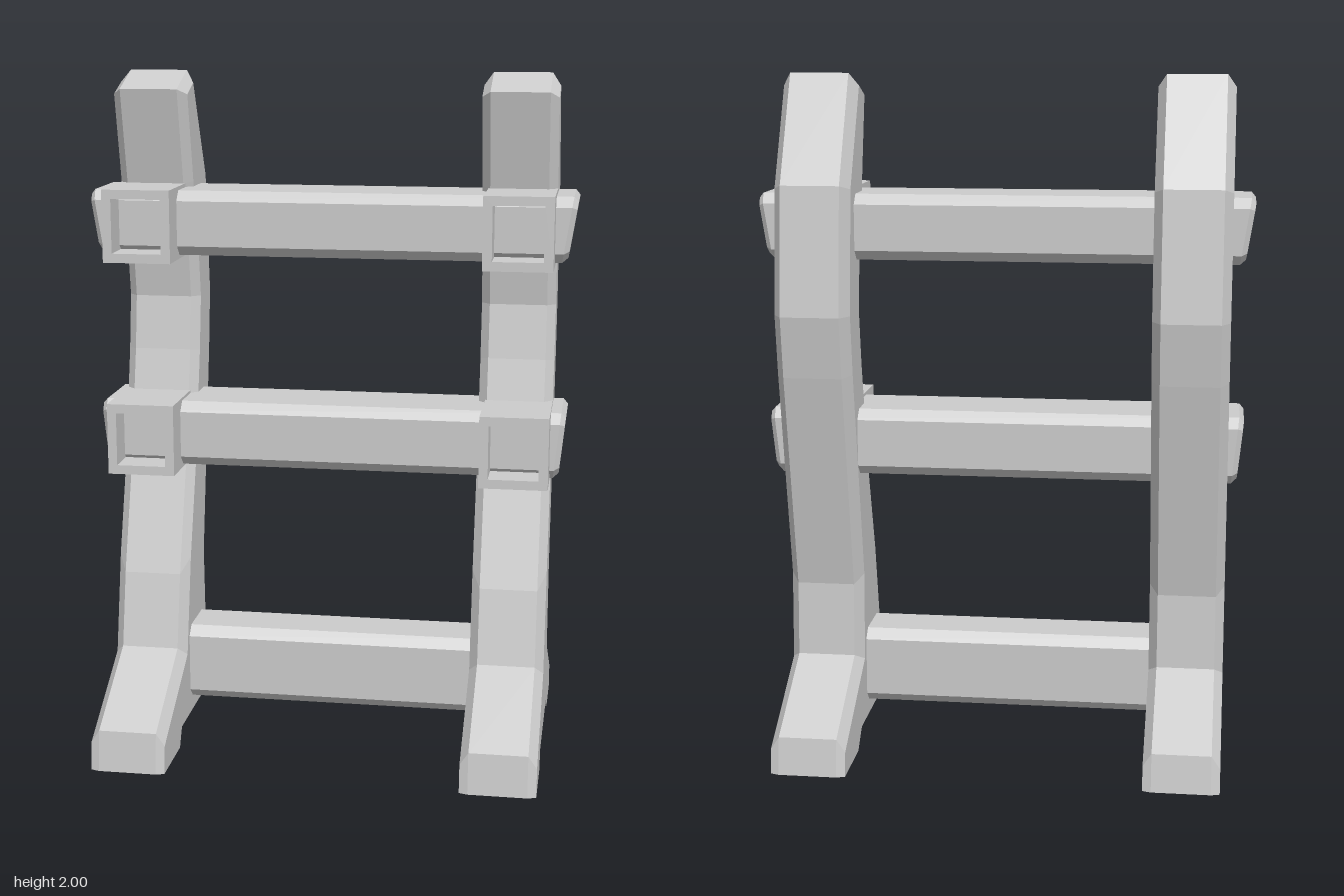
import * as THREE from 'three';

const material = new THREE.MeshStandardMaterial({ color: 0xcccccc, flatShading: true });

function addMesh(group, name, geometry) {
  const mesh = new THREE.Mesh(geometry, material);
  mesh.name = name;
  group.add(mesh);
  return mesh;
}

// Side outline of a post as [z, y, bevel of the edge that follows]
const POST = [
  [-0.455, 0, 0], [-0.25, 0, 0], [-0.19, 0.055, 0], [0.22, 0.055, 0], [0.25, 0, 0],
  [0.455, 0, 0.008], [0.44, 0.12, 0.035], [0.155, 0.28, 0.03], [0.105, 0.5, 0.025],
  [0, 0.82, 0.025], [-0.08, 1.16, 0.025], [-0.105, 1.32, 0.025], [-0.085, 1.46, 0.025],
  [-0.03, 1.67, 0.025], [0.035, 1.95, 0.025], [-0.1, 2, 0.04], [-0.26, 1.69, 0.04],
  [-0.3, 1.32, 0.04], [-0.275, 1.14, 0.04], [-0.15, 0.49, 0.035], [-0.16, 0.27, 0.035],
  [-0.44, 0.11, 0.008],
];

// Move every edge inwards by its own bevel and intersect neighbouring edges
function insetOutline(points) {
  const n = points.length;
  const lines = points.map(([z, y, d], i) => {
    const [z2, y2] = points[(i + 1) % n];
    const len = Math.hypot(z2 - z, y2 - y);
    const dir = [(z2 - z) / len, (y2 - y) / len];
    return { p: [z - dir[1] * d, y + dir[0] * d], dir };
  });
  return lines.map((b, i) => {
    const a = lines[(i + n - 1) % n];
    const cross = a.dir[0] * b.dir[1] - a.dir[1] * b.dir[0];
    const t = ((b.p[0] - a.p[0]) * b.dir[1] - (b.p[1] - a.p[1]) * b.dir[0]) / cross;
    return [a.p[0] + a.dir[0] * t, a.p[1] + a.dir[1] * t];
  });
}

// Bevelled slab: four outlines across the width, closed by flat sides
function postGeometry(half, bevel) {
  const inner = insetOutline(POST);
  const n = POST.length;
  const rings = [[inner, -half], [POST, bevel - half], [POST, half - bevel], [inner, half]];
  const positions = rings.flatMap(([ring, x]) => ring.flatMap(([z, y]) => [x, y, z]));
  const index = [];
  for (let r = 0; r < 3; r++) {
    for (let i = 0; i < n; i++) {
      const a = r * n + i, b = r * n + (i + 1) % n;
      index.push(a, a + n, b + n, a, b + n, b);
    }
  }
  const outline = inner.map(([z, y]) => new THREE.Vector2(z, y));
  for (const [a, b, c] of THREE.ShapeUtils.triangulateShape(outline, [])) {
    index.push(a, b, c, 3 * n + a, 3 * n + c, 3 * n + b);
  }
  const geometry = new THREE.BufferGeometry();
  geometry.setAttribute('position', new THREE.Float32BufferAttribute(positions, 3));
  geometry.setIndex(index);
  const flat = geometry.toNonIndexed();
  flat.computeVertexNormals();
  return flat;
}

// Chamfered beam along x, its ends leaning outwards at the top by "lean"
function beamGeometry(halfLength, y0, y1, z0, z1, lean) {
  const c = 0.02, e = 0.015;
  const w = (z1 - z0) / 2 - e, h = (y1 - y0) / 2 - e;
  const shape = new THREE.Shape([
    [-w + c, -h], [w - c, -h], [w, -h + c], [w, h - c],
    [w - c, h], [-w + c, h], [-w, h - c], [-w, -h + c],
  ].map(([u, v]) => new THREE.Vector2(u, v)));
  const geometry = new THREE.ExtrudeGeometry(shape, {
    depth: 2 * (halfLength - e), bevelEnabled: true,
    bevelThickness: e, bevelSize: e, bevelSegments: 1,
  });
  geometry.translate(0, 0, e - halfLength);
  geometry.rotateY(Math.PI / 2);
  const p = geometry.attributes.position;
  for (let i = 0; i < p.count; i++) {
    const k = (p.getY(i) / (h + e) - 1) / 2;
    p.setX(i, p.getX(i) + Math.sign(p.getX(i)) * lean * k);
  }
  geometry.translate(0, (y0 + y1) / 2, (z0 + z1) / 2);
  geometry.computeVertexNormals();
  return geometry;
}

// Square sleeve open towards the front
function sleeveGeometry(width, height, wall, depth) {
  const rect = (Type, w, h) => new Type([[-w, -h], [w, -h], [w, h], [-w, h]]
    .map(([x, y]) => new THREE.Vector2(x, y)));
  const shape = rect(THREE.Shape, width / 2, height / 2);
  shape.holes.push(rect(THREE.Path, width / 2 - wall, height / 2 - wall));
  return new THREE.ExtrudeGeometry(shape, { depth, bevelEnabled: false });
}

export function createModel() {
  const group = new THREE.Group();
  group.name = 'rack';

  // Curved posts with splayed feet
  const post = postGeometry(0.11, 0.025);
  for (const side of [-1, 1]) {
    addMesh(group, side > 0 ? 'leftPost' : 'rightPost', post).position.x = side * 0.54;
  }

  // Two cross rails, each held by a pair of sleeves
  const rails = [
    { name: 'upper', y0: 1.47, y1: 1.66, half: 0.715, lean: 0.03 },
    { name: 'lower', y0: 0.835, y1: 1.03, half: 0.695, lean: 0.02 },
  ];
  const sleeve = sleeveGeometry(0.2, 0.212, 0.027, 0.325);
  for (const { name, y0, y1, half, lean } of rails) {
    addMesh(group, name + 'Rail', beamGeometry(half, y0, y1, -0.18, 0.085, lean));
    for (const side of [-1, 1]) {
      const mesh = addMesh(group, name + (side > 0 ? 'LeftSleeve' : 'RightSleeve'), sleeve);
      mesh.position.set(side * 0.55, (y0 + y1) / 2, -0.15);
    }
  }

  // Stretcher between the feet
  addMesh(group, 'stretcher', beamGeometry(0.5, 0.1, 0.33, -0.1, 0.1, 0));
  return group;
}
